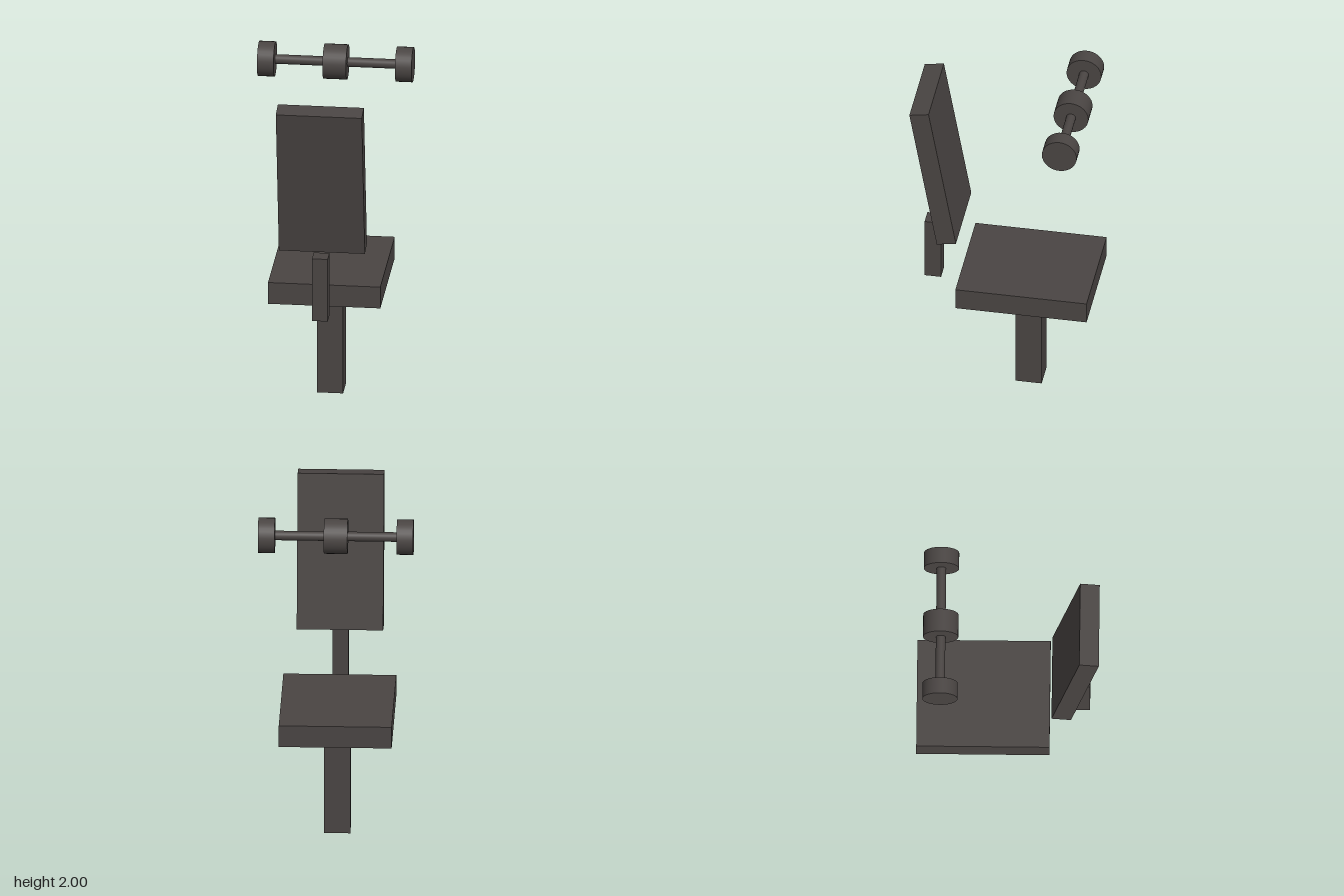
import * as THREE from 'three';

export function createModel() {
  const charcoal = new THREE.MeshStandardMaterial({ color: 0x4a4543 });
  charcoal.name = 'charcoal';

  const model = new THREE.Group();
  model.name = 'chairWithRollerBar';
  // Everything shares one frame turned 30 degrees about the upright axis
  model.position.set(-0.01, 0, -0.088);
  model.rotation.y = -Math.PI / 6;

  const add = (name, geometry, x, y, z, parent = model) => {
    const mesh = new THREE.Mesh(geometry, charcoal);
    mesh.name = name;
    mesh.position.set(x, y, z);
    parent.add(mesh);
    return mesh;
  };
  const box = (name, w, h, d, y, z) => add(name, new THREE.BoxGeometry(w, h, d), 0, y, z);

  // Seat on its single square post
  box('seatPost', 0.15, 0.655, 0.15, 0.3275, 0);
  box('seat', 0.64, 0.13, 0.755, 0.72, 0);

  // Upright support and the reclined backrest above it
  box('backSupport', 0.09, 0.38, 0.095, 0.845, 0.557);
  box('backrest', 0.49, 0.908, 0.112, 1.4915, 0.522).rotation.x = THREE.MathUtils.degToRad(10);

  // Overhead bar with a roller in the middle and a disc at each end
  const bar = new THREE.Group();
  bar.name = 'overheadBar';
  bar.position.set(0, 1.9, -0.242);
  model.add(bar);
  const round = (name, r, length, x) =>
    add(name, new THREE.CylinderGeometry(r, r, length, 32).rotateZ(Math.PI / 2), x, 0, 0, bar);
  round('barRod', 0.027, 0.786, 0);
  round('middleRoller', 0.1, 0.134, 0);
  for (const side of [-1, 1]) round(side < 0 ? 'rightDisc' : 'leftDisc', 0.1, 0.094, side * 0.393);

  const root = new THREE.Group();
  root.name = 'model';
  root.add(model);
  return root;
}
